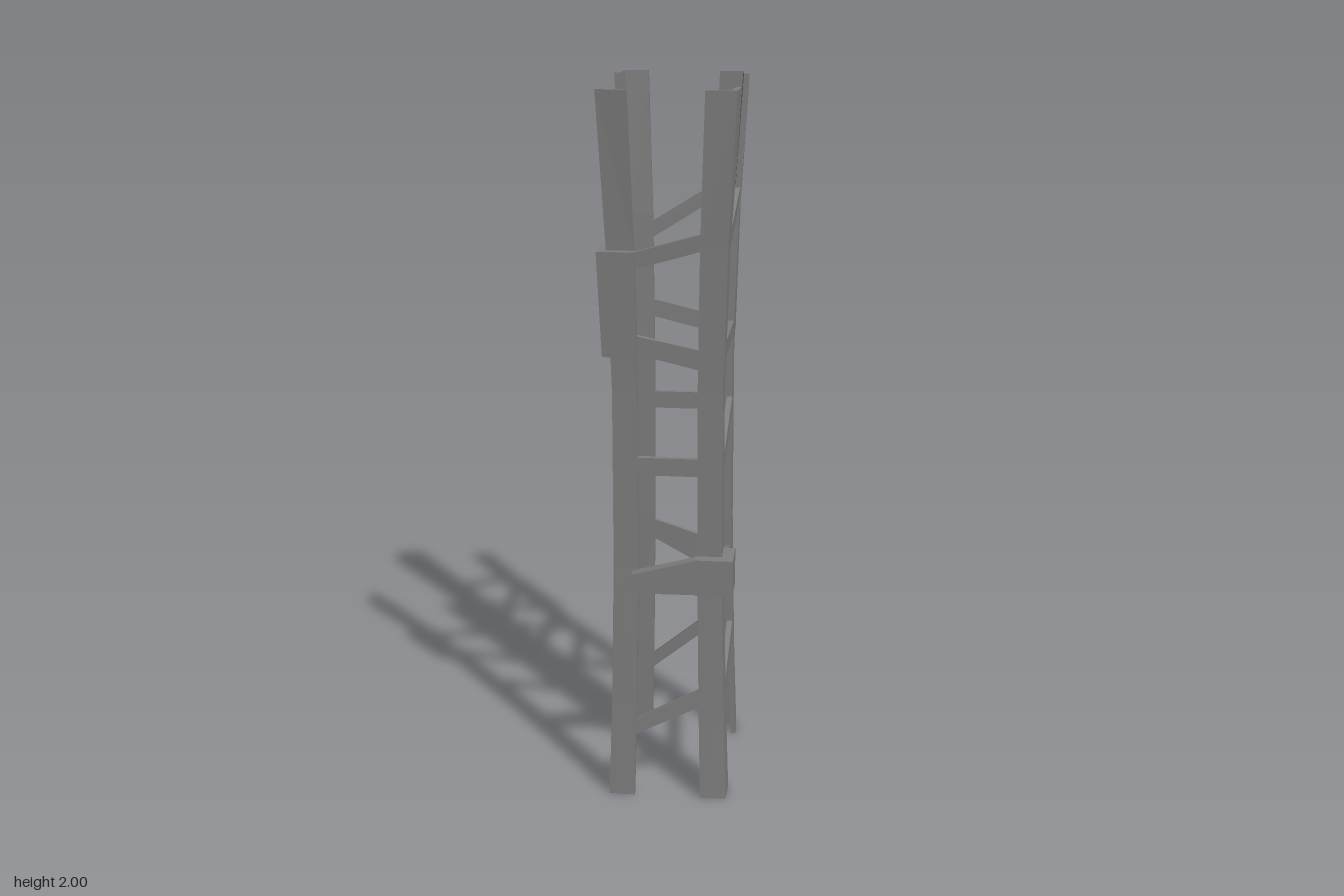
import * as THREE from 'three';

const material = new THREE.MeshStandardMaterial({ color: 0x808080, flatShading: true });
const THICK = 0.016;

// Post profile by height: y, corner x, corner z, flange width, outward splay of the flange ends
const PROFILE = [
  [0, 0.167, 0.237, 0.073, 0.003],
  [0.28, 0.158, 0.228, 0.07, 0.002],
  [0.7, 0.15, 0.22, 0.068, 0],
  [1.2, 0.149, 0.22, 0.068, 0],
  [1.6, 0.16, 0.231, 0.073, 0.002],
  [2, 0.181, 0.25, 0.081, 0.006],
];

function profileAt(y) {
  let i = 0;
  while (i < PROFILE.length - 2 && y > PROFILE[i + 1][0]) i++;
  const [a, b] = [PROFILE[i], PROFILE[i + 1]];
  const t = (y - a[0]) / (b[0] - a[0]);
  const [, cx, cz, arm] = a.map((v, k) => v + (b[k] - v) * t);
  return { cx, cz, arm };
}

// Closed solid through matching cross-sections; faces are turned outward by signed volume
function loft(name, rings) {
  const tris = [];
  const n = rings[0].length;
  for (let r = 0; r < rings.length - 1; r++) {
    for (let i = 0; i < n; i++) {
      const j = (i + 1) % n;
      const [p, q] = [rings[r], rings[r + 1]];
      tris.push([p[i], p[j], q[j]], [p[i], q[j], q[i]]);
    }
  }
  const [first, last] = [rings[0], rings[rings.length - 1]];
  for (let i = 1; i < n - 1; i++) {
    tris.push([first[0], first[i + 1], first[i]], [last[0], last[i], last[i + 1]]);
  }
  let volume = 0;
  for (const [a, b, c] of tris) volume += a.dot(b.clone().cross(c));
  const points = tris.flatMap(([a, b, c]) => (volume < 0 ? [a, c, b] : [a, b, c]));
  const geometry = new THREE.BufferGeometry().setFromPoints(points);
  geometry.computeVertexNormals();
  const mesh = new THREE.Mesh(geometry, material);
  mesh.name = name;
  return mesh;
}

// L-shaped section in one corner, listed from its inner corner
function angleSection(sx, sz, y, cx, cz, arm, splay, t) {
  return [
    [cx - t, cz - t],
    [cx - arm, cz - t + splay],
    [cx - arm, cz + splay],
    [cx, cz],
    [cx + splay, cz - arm],
    [cx - t + splay, cz - arm],
  ].map(([x, z]) => new THREE.Vector3(sx * x, y, sz * z));
}

// Brace between two posts; each end gives its lower and upper height
function brace(name, side, startY, endY) {
  const ring = ([lo, hi], sign) => [[lo, 0], [hi, 0], [hi, THICK], [lo, THICK]].map(([y, inset]) => {
    const { cx, cz, arm } = profileAt(y);
    return side === 'left'
      ? new THREE.Vector3(cx - inset, y, sign * (cz - arm))
      : new THREE.Vector3(sign * (cx - arm), y, (side === 'front' ? 1 : -1) * (cz - inset));
  });
  return loft(name, [ring(startY, -1), ring(endY, 1)]);
}

export function createModel() {
  const group = new THREE.Group();

  // Four angle-iron corner posts, pinched in the middle
  for (const sx of [-1, 1]) {
    for (const sz of [-1, 1]) {
      const name = (sz > 0 ? 'front' : 'back') + (sx > 0 ? 'Left' : 'Right') + 'Post';
      group.add(loft(name, PROFILE.map(([y, cx, cz, arm, splay]) =>
        angleSection(sx, sz, y, cx, cz, arm, splay, THICK))));
    }
  }

  // Braces: front and back run from -x to +x, the left side from back to front
  const braces = {
    front: [
      [[1.535, 1.58], [1.585, 1.63]],
      [[1.305, 1.355], [1.265, 1.32]],
      [[0.965, 1.015], [0.965, 1.015]],
      [[0.19, 0.235], [0.28, 0.33]],
    ],
    back: [
      [[1.535, 1.58], [1.645, 1.69]],
      [[1.305, 1.355], [1.265, 1.315]],
      [[1.03, 1.08], [1.03, 1.08]],
      [[0.62, 0.68], [0.525, 0.625]],
      [[0.19, 0.235], [0.335, 0.38]],
    ],
    left: [
      [[1.645, 1.69], [1.575, 1.62]],
      [[1.265, 1.31], [1.285, 1.33]],
      [[1.04, 1.085], [0.967, 1.012]],
      [[0.525, 0.625], [0.635, 0.73]],
      [[0.335, 0.38], [0.28, 0.325]],
    ],
  };
  for (const [side, list] of Object.entries(braces)) {
    list.forEach(([start, end], i) => group.add(brace(`${side}Brace${i + 1}`, side, start, end)));
  }

  // Sleeve around the upper front right post
  group.add(loft('frontRightSleeve', [
    angleSection(-1, 1, 1.3, 0.172, 0.242, 0.093, 0, 0.024),
    angleSection(-1, 1, 1.585, 0.183, 0.254, 0.099, 0, 0.026),
  ]));

  // Reinforcing plate on the rear flange of the back left post
  const plateRing = (y, x0, x1, z0, z1) => [[x0, z0], [x1, z0], [x1, z1], [x0, z1]]
    .map(([x, z]) => new THREE.Vector3(x, y, z));
  group.add(loft('backLeftPlate', [
    plateRing(1.265, 0.08, 0.151, -0.217, -0.245),
    plateRing(1.635, 0.086, 0.161, -0.227, -0.254),
  ]));

  // Clamp around the front left post, with a tapered strap reaching the right post
  group.add(loft('frontLeftClamp', [0.63, 0.735].map((y) =>
    angleSection(1, 1, y, 0.182, 0.252, 0.105, 0, 0.036))));
  const strapRing = (x, lo, hi) => [[lo, 0.217], [hi, 0.217], [hi, 0.25], [lo, 0.25]]
    .map(([y, z]) => new THREE.Vector3(x, y, z));
  group.add(loft('clampStrap', [strapRing(-0.098, 0.63, 0.685), strapRing(0.08, 0.632, 0.733)]));

  return group;
}
